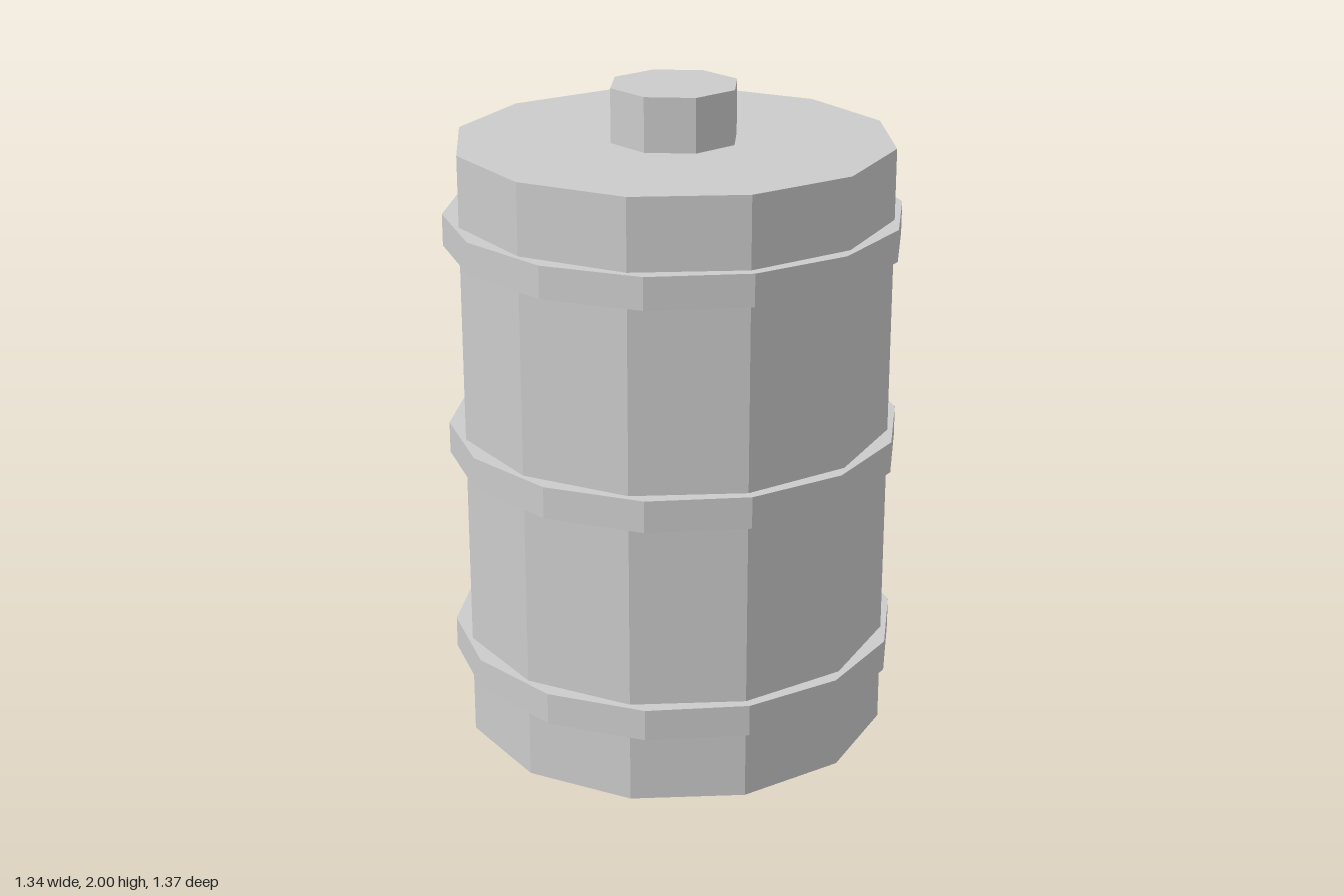
import * as THREE from 'three';

export function createModel() {
  const model = new THREE.Group();
  model.name = 'barrel';
  const material = new THREE.MeshStandardMaterial({ color: 0xcccccc, flatShading: true });

  // Upright prism from y = bottom to y = top, with one corner facing the front
  function addPrism(name, radius, sides, bottom, top) {
    const geometry = new THREE.CylinderGeometry(radius, radius, top - bottom, sides);
    const mesh = new THREE.Mesh(geometry, material);
    mesh.name = name;
    mesh.position.y = (bottom + top) / 2;
    model.add(mesh);
  }

  // Twelve-sided drum
  addPrism('body', 0.655, 12, 0, 1.838);

  // Three fourteen-sided hoops
  const hoops = { lowerHoop: 0.264, middleHoop: 0.922, upperHoop: 1.578 };
  for (const [name, y] of Object.entries(hoops)) {
    addPrism(name, 0.686, 14, y - 0.048, y + 0.048);
  }

  // Eight-sided cap on the lid
  addPrism('cap', 0.195, 8, 1.838, 2);

  return model;
}
